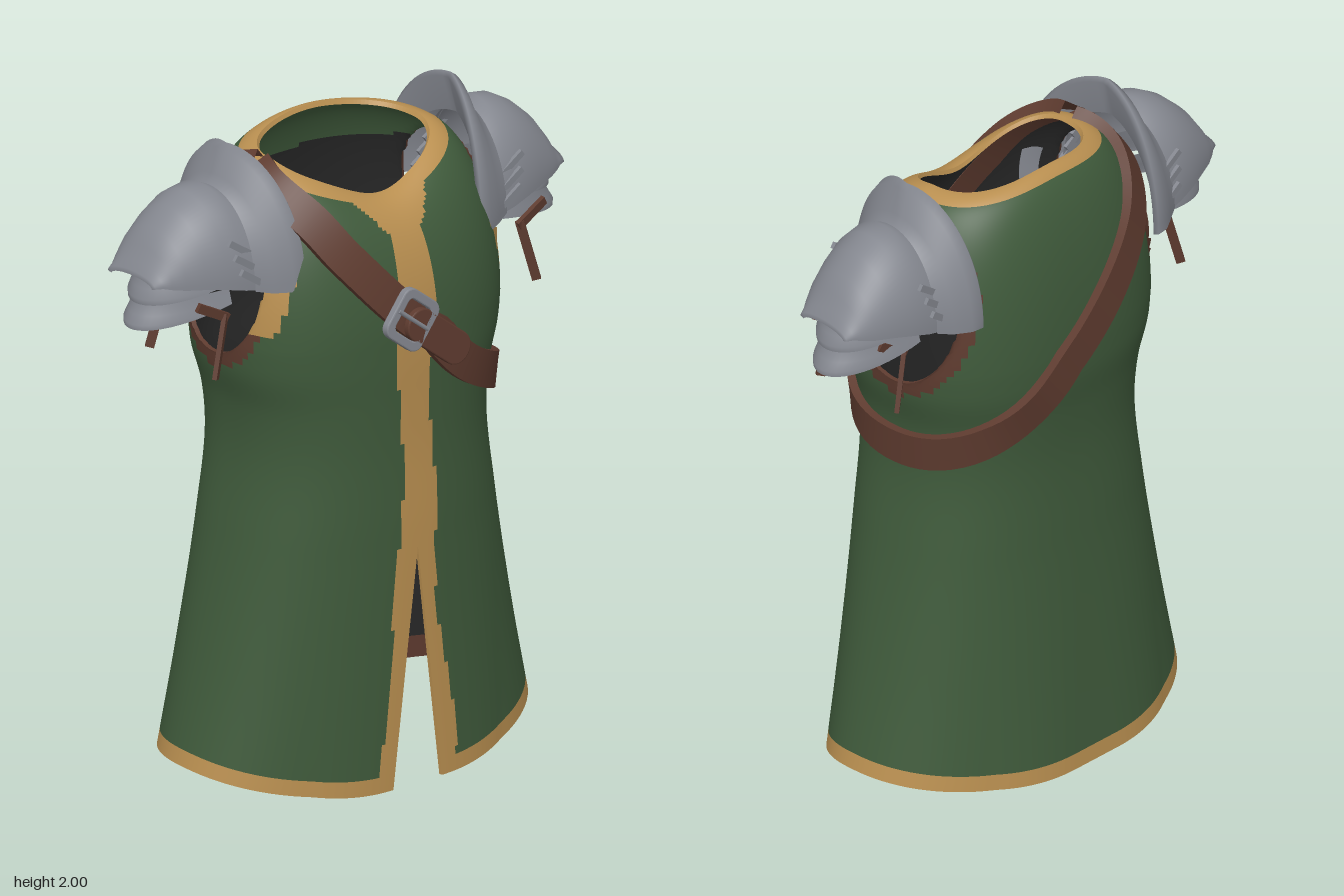
import * as THREE from 'three';
import { mergeVertices } from 'three/addons/utils/BufferGeometryUtils.js';

const V = (x, y, z) => new THREE.Vector3(x, y, z);
function mat(name, color, side = THREE.FrontSide) {
  const m = new THREE.MeshStandardMaterial({ color, side });
  m.name = name;
  return m;
}

// ---- Tunic surface: angle th (0 = front, towards +x), v 0..1 hem to chest, 1..2 chest to neck
const CHEST = 1.4;
const profile = new THREE.CubicInterpolant(
  [0, 0.4, 0.8, 1.05, 1.2, 1.32, 1.4],
  [0.63, 0.34, 0.395, 0.535, 0.34, 0.36, 0.455, 0.34, 0.33, 0.42, 0.335, 0.32,
    0.43, 0.337, 0.33, 0.462, 0.34, 0.347, 0.47, 0.34, 0.35], 3);

function ring(th, rx, zf, zb, n) {
  const s = Math.sin(th), c = Math.cos(th), rz = c > 0 ? zf : zb;
  const r = (Math.abs(s / rx) ** n + Math.abs(c / rz) ** n) ** (-1 / n);
  return [r * s, r * c];
}
function hemY(th) {
  const z = ring(th, 0.61, 0.34, 0.39, 2.1)[1];
  return z > 0 ? 0.1 - 0.1 * (z / 0.34) ** 2 : 0.1 - 0.06 * (z / 0.39) ** 2;
}
function neckY(th) {
  const c = Math.cos(th);
  return c > 0 ? 1.92 - 0.12 * c ** 1.5 : 1.92 + 0.03 * c * c;
}
const slit = y => 0.09 * Math.max(0, 1 - y / 0.74);

function surface(th, v) {
  if (v <= 1) {
    const h = hemY(th), y = h + (CHEST - h) * v;
    const [rx, zf, zb] = profile.evaluate(y);
    let [x, z] = ring(th, rx, zf, zb, 2.1 + 0.4 * y / CHEST);
    x += (th > Math.PI ? -1 : 1) * slit(y) * Math.max(0, 1 - Math.abs(x) / 0.35);
    return V(x, y, z);
  }
  const a = (v - 1) * Math.PI / 2, k = Math.cos(a);
  const [ax, az] = ring(th, 0.47, 0.34, 0.35, 2.5);
  const [nx, nz] = ring(th, 0.27, 0.165, 0.19, 2.4);
  return V(nx + (ax - nx) * k, CHEST + (neckY(th) - CHEST) * Math.sin(a), nz + (az - nz) * k);
}

// Grid of quads from a point function
function sheet(nu, nv, fn) {
  const pos = [], idx = [], w = nu + 1;
  for (let j = 0; j <= nv; j++) for (let i = 0; i <= nu; i++) pos.push(...fn(i / nu, j / nv, i, j).toArray());
  for (let j = 0; j < nv; j++) for (let i = 0; i < nu; i++) {
    const a = j * w + i;
    idx.push(a, a + 1, a + w + 1, a, a + w + 1, a + w);
  }
  const g = new THREE.BufferGeometry();
  g.setAttribute('position', new THREE.Float32BufferAttribute(pos, 3));
  g.setIndex(idx);
  g.computeVertexNormals();
  return g;
}

// Below 1 inside the armhole ellipse
const armhole = p => Math.abs(p.x) < 0.3 ? 99 : ((p.z + 0.03) / 0.19) ** 2 + ((p.y - 1.6) / 0.24) ** 2;

function buildTunic(M, add) {
  const NU = 144, LOW = 56, UP = 40, NV = LOW + UP, w = NU + 1;
  const outer = [], inner = [], hole = [];
  for (let j = 0; j <= NV; j++) for (let i = 0; i <= NU; i++) {
    const v = j <= LOW ? j / LOW : 1 + (j - LOW) / UP;
    const p = surface(i / NU * Math.PI * 2, v), f = armhole(p);
    if (f < 1 && f > 0.001) { // pull onto a clean armhole edge
      const k = 1 / Math.sqrt(f);
      p.z = -0.03 + (p.z + 0.03) * k;
      p.y = 1.6 + (p.y - 1.6) * k;
    }
    hole.push(f);
    outer.push(p);
    inner.push(V(p.x * 0.97, p.y - (v > 1 ? 0.012 * (v - 1) : 0), p.z * 0.97));
  }
  const corners = (i, j) => [j * w + i, j * w + i + 1, (j + 1) * w + i + 1, (j + 1) * w + i];
  const kept = (i, j) => i >= 0 && j >= 0 && i < NU && j < NV && corners(i, j).some(k => hole[k] >= 1);

  const mats = [M.green, M.gold, M.brown, M.lining];
  const faces = mats.map(() => []), rims = { gold: [], brown: [] };
  for (let j = 0; j < NV; j++) for (let i = 0; i < NU; i++) {
    if (!kept(i, j)) continue;
    const q = corners(i, j);
    const p = q.reduce((s, k) => s.add(outer[k]), V(0, 0, 0)).multiplyScalar(0.25);
    const th = (i + 0.5) / NU * Math.PI * 2, f = armhole(p), ax = Math.abs(p.x);
    const up = p.y - hemY(th);
    const neck = j > LOW && Math.cos((j + 0.5 - LOW) / UP * Math.PI / 2) < 0.27;
    const placket = p.z > 0 && ax < 0.06 + slit(p.y) * 0.95 + 0.012 * Math.sin(p.y * 9 + (p.x < 0 ? 2 : 0))
      + Math.max(0, p.y - 1.71) * 0.8;
    const patch = p.z > 0.1 && ax > 0.36 && f < 1.75 && p.y > 1.45 && p.y < 1.64;
    const out = neck || placket || up < 0.05 || patch ? 1 : f < 1.4 ? 2 : 0;
    const inn = up < 0.06 ? 2 : p.y > 1.78 && p.z < 0.05 ? 0 : 3;
    const [a, b, c, d] = q, n = outer.length;
    faces[out].push(a, b, c, a, c, d);
    faces[inn].push(a + n, c + n, b + n, a + n, d + n, c + n);
    // edge thickness along every opening
    [[a, b, i, j - 1], [b, c, i + 1, j], [c, d, i, j + 1], [d, a, i - 1, j]].forEach(([s, e, ni, nj]) => {
      if (kept(ni, nj)) return;
      if ((ni < 0 || ni >= NU) && p.y > 0.75) return;
      const list = f < 3 ? rims.brown : rims.gold;
      [outer[s], inner[s], inner[e], outer[s], inner[e], outer[e]].forEach(t => list.push(t.x, t.y, t.z));
    });
  }
  let g = new THREE.BufferGeometry();
  g.setAttribute('position', new THREE.Float32BufferAttribute([...outer, ...inner].flatMap(p => p.toArray()), 3));
  g.setIndex(faces.flat());
  let start = 0;
  faces.forEach((l, k) => { g.addGroup(start, l.length, k); start += l.length; });
  g = mergeVertices(g);
  g.computeVertexNormals();
  add('tunic', g, mats);
  for (const key of ['gold', 'brown']) {
    const r = new THREE.BufferGeometry();
    r.setAttribute('position', new THREE.Float32BufferAttribute(rims[key], 3));
    r.computeVertexNormals();
    add(key === 'gold' ? 'hemEdge' : 'armholeEdge', r, M[key]);
  }
}

// ---- Diagonal strap following the tunic surface, right shoulder to left waist and round the back
function strapGeometry() {
  const PI = Math.PI;
  const path = [[-PI / 2, 1.9], [-1.0, 1.8], [-0.67, 1.68], [-0.15, 1.49], [0.29, 1.35], [0.79, 1.21], [PI / 2, 1.125],
    [2.37, 1.22], [PI, 1.46], [PI + 0.65, 1.68], [PI + 1.05, 1.82], [1.5 * PI, 1.9]];
  const curve = new THREE.CatmullRomCurve3(path.map(([th, y]) => {
    const h = hemY(th);
    return V(th, y <= CHEST ? (y - h) / (CHEST - h) : 1 + Math.asin((y - CHEST) / (neckY(th) - CHEST)) * 2 / PI, 0);
  }));
  const at = t => { const c = curve.getPoint(Math.min(1, Math.max(0, t))); return surface(c.x, c.y); };
  const e = 0.004, A = [-0.055, 0.026], B = [0.055, 0.026], C = [0.055, -0.015], D = [-0.055, -0.015];
  const section = [A, B, B, C, C, D, D, A];
  return sheet(7, 130, (u, t, i) => {
    const c = curve.getPoint(t), p = surface(c.x, c.y);
    const du = surface(c.x + e, c.y).sub(surface(c.x - e, c.y));
    const dv = surface(c.x, c.y + e).sub(surface(c.x, c.y - e));
    const n = du.cross(dv).normalize();
    const side = n.clone().cross(at(t + e).sub(at(t - e))).normalize();
    return p.addScaledVector(side, section[i][0]).addScaledVector(n, section[i][1]);
  });
}

function roundedRect(w, h, r, Type = THREE.Shape) {
  const s = new Type(), x = w / 2 - r, y = h / 2 - r;
  s.absarc(x, y, r, 0, Math.PI / 2).absarc(-x, y, r, Math.PI / 2, Math.PI);
  s.absarc(-x, -y, r, Math.PI, Math.PI * 1.5).absarc(x, -y, r, Math.PI * 1.5, Math.PI * 2);
  s.closePath();
  return s;
}
const extrude = (s, depth) => new THREE.ExtrudeGeometry(s,
  { depth, bevelSize: 0.004, bevelThickness: 0.004, bevelSegments: 2, curveSegments: 8 });

// ---- Shoulder armour on one side (s = 1 left, -1 right)
function buildPauldron(M, s) {
  const group = new THREE.Group();
  group.name = s > 0 ? 'leftPauldron' : 'rightPauldron';
  const add = (name, g, m) => {
    const mesh = new THREE.Mesh(g, m);
    mesh.name = name;
    group.add(mesh);
    return mesh;
  };
  const arch = rows => (u, v, i, j) => {
    const [x, w, top, bottom, sweep] = rows[j], a = u * Math.PI, z = w * Math.cos(a);
    return V(s * (x - sweep * Math.abs(Math.cos(a)) - 0.08 * z), bottom + (top - bottom) * Math.sin(a), z - 0.03);
  };
  // raised neck guard: x, half width, top, bottom, sweep towards the neck
  const guard = [[0.435, 0.215, 1.87, 1.61, 0.06], [0.405, 0.25, 1.985, 1.6, 0.07], [0.415, 0.26, 2.0, 1.6, 0.07],
    [0.435, 0.255, 1.985, 1.6, 0.05], [0.455, 0.225, 1.91, 1.6, 0.02], [0.48, 0.2, 1.88, 1.61, 0]];
  add('neckGuard', sheet(40, guard.length - 1, arch(guard)), M.steel);
  const dome = [[0.46, 0.2, 1.875, 1.61, 0], [0.51, 0.197, 1.9, 1.62, 0], [0.57, 0.187, 1.89, 1.635, 0],
    [0.63, 0.167, 1.855, 1.645, 0], [0.685, 0.145, 1.805, 1.65, 0], [0.72, 0.125, 1.755, 1.655, 0],
    [0.742, 0.11, 1.712, 1.66, 0], [0.762, 0.1, 1.69, 1.66, 0], [0.762, 0.085, 1.675, 1.655, 0]];
  add('shoulderDome', sheet(40, dome.length - 1, arch(dome)), M.steel);
  // overlapping pleats at the foot of the dome, front and back
  for (const f of [1, -1]) for (let k = 0; k < 3; k++) {
    const pleat = add('pleat', new THREE.BoxGeometry(0.1, 0.02, 0.012), M.steel);
    pleat.position.set(s * (0.475 + 0.012 * k), 1.655 + 0.045 * k, -0.03 + f * (0.2 - 0.013 * k));
    pleat.rotation.z = s * 0.6;
  }
  // hanging plates: height and reach of the upper and lower edge
  [[1.69, 0.22, 0.13, 1.585, 0.262, 0.148], [1.605, 0.235, 0.122, 1.51, 0.283, 0.137]].forEach(([y0, d0, w0, y1, d1, w1]) => {
    add('hangingPlate', sheet(28, 4, (u, v) => {
      const b = (u - 0.5) * Math.PI, k = Math.min(1, v / 0.9), c = Math.cos(b);
      const reach = d0 + (d1 - d0) * k ** 1.4 - (v === 1 ? 0.012 : 0);
      return V(s * (0.5 + reach * c), y0 + (y1 - y0) * k + 0.05 * (1 - c) * k, -0.03 + (w0 + (w1 - w0) * k) * Math.sin(b));
    }), M.steel);
  });
  // bent leather ties
  for (const z of [0.145, -0.16]) {
    const pts = [V(0.63, 1.585, z * 0.85), V(0.545, 1.54, z * 0.9), V(0.59, 1.37, z)];
    for (let k = 0; k < 2; k++) {
      const a = pts[k], b = pts[k + 1], d = b.clone().sub(a);
      const tie = add('tie', new THREE.BoxGeometry(0.027, d.length() + 0.02, 0.014), M.brown);
      tie.position.copy(a).add(b).multiplyScalar(0.5);
      tie.position.x *= s;
      tie.quaternion.setFromUnitVectors(V(0, 1, 0), V(d.x * s, d.y, d.z).normalize());
    }
  }
  return group;
}

export function createModel() {
  const root = new THREE.Group();
  root.name = 'armouredTunic';
  const M = {
    green: mat('greenCloth', 0x3f5a3b), gold: mat('goldTrim', 0xb98f50),
    brown: mat('brownLeather', 0x5e3b2f, THREE.DoubleSide),
    steel: mat('steel', 0x84878f, THREE.DoubleSide), lining: mat('darkLining', 0x282828),
  };
  const add = (name, g, m, parent = root) => {
    const mesh = new THREE.Mesh(g, m);
    mesh.name = name;
    parent.add(mesh);
    return mesh;
  };
  buildTunic(M, add);
  add('strap', strapGeometry(), M.brown);

  // buckle, prong and strap end on the chest
  const buckle = new THREE.Group();
  buckle.name = 'buckle';
  buckle.position.set(-0.05, 1.48, 0.362);
  buckle.rotation.set(-0.06, 0, -0.68);
  const frame = roundedRect(0.145, 0.155, 0.03);
  frame.holes.push(roundedRect(0.105, 0.115, 0.02, THREE.Path));
  add('buckleFrame', extrude(frame, 0.018), M.steel, buckle);
  const prong = add('prong', new THREE.CylinderGeometry(0.007, 0.007, 0.13, 8), M.steel, buckle);
  prong.rotation.z = Math.PI / 2;
  prong.position.z = 0.02;
  const end = add('strapEnd', extrude(roundedRect(0.25, 0.095, 0.045), 0.016), M.brown, buckle);
  end.position.set(0.12, 0, 0.002);
  root.add(buckle);

  for (const s of [1, -1]) root.add(buildPauldron(M, s));
  return root;
}
